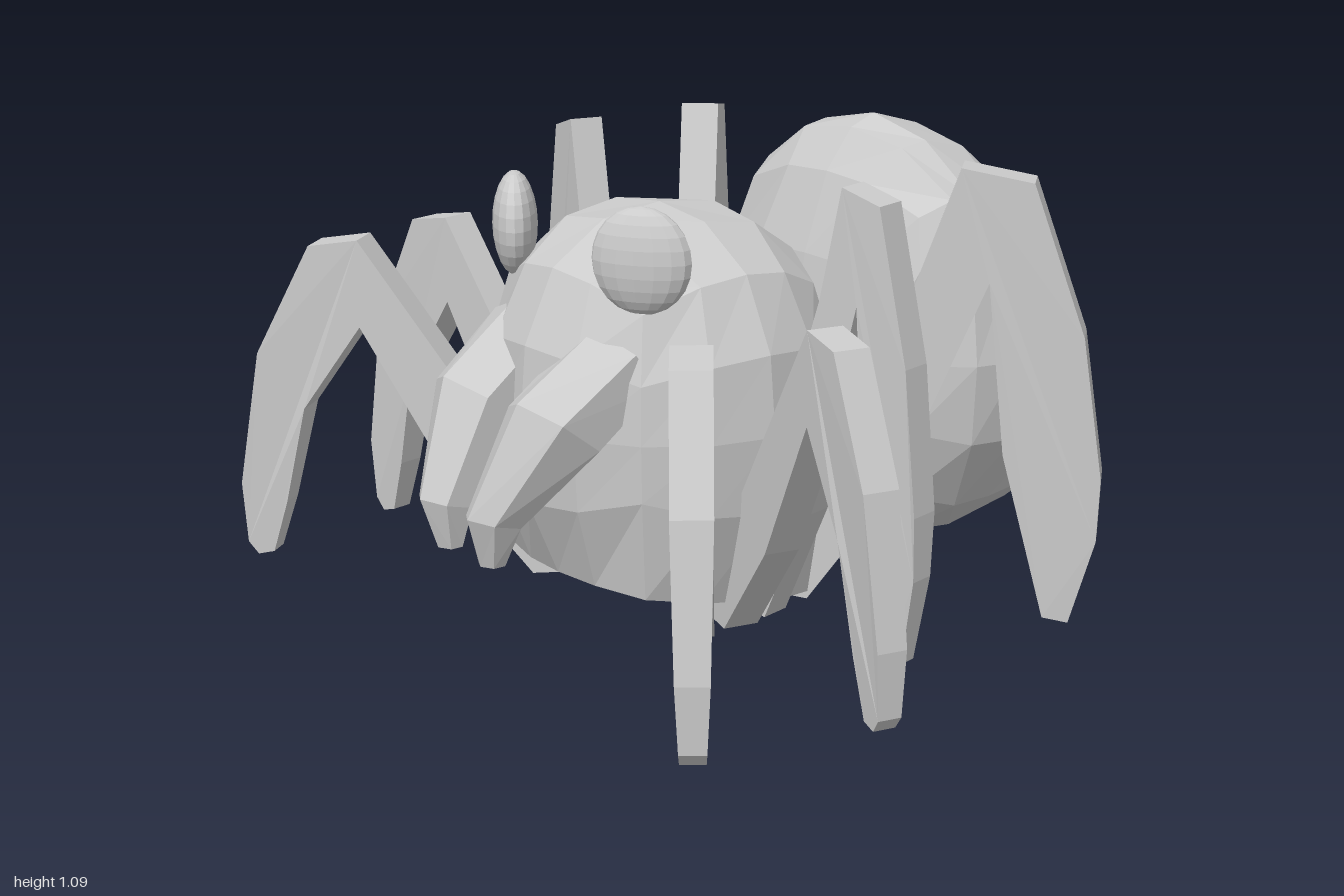
import * as THREE from 'three';

const material = new THREE.MeshStandardMaterial({ color: 0xcccccc, flatShading: true });

function addMesh(parent, name, geometry) {
  const mesh = new THREE.Mesh(geometry, material);
  mesh.name = name;
  parent.add(mesh);
  return mesh;
}

// Moves every vertex of a geometry by a rule that edits the vector in place
function reshape(geometry, rule) {
  const p = geometry.attributes.position;
  const v = new THREE.Vector3();
  for (let i = 0; i < p.count; i++) {
    rule(v.fromBufferAttribute(p, i));
    p.setXYZ(i, v.x, v.y, v.z);
  }
  geometry.computeVertexNormals();
  return geometry;
}

// Ball with square patches, made from a divided cube
function quadBall(rule) {
  return reshape(new THREE.BoxGeometry(2, 2, 2, 4, 4, 4), (v) => {
    const underside = v.y < -0.99;
    v.set(Math.tan(v.x * Math.PI / 4), Math.tan(v.y * Math.PI / 4), Math.tan(v.z * Math.PI / 4));
    rule(v.normalize(), underside);
  });
}

// Fang rings from tip to base: centre x, y, z, half width, half depth, tilt
const fangRings = [
  [0.085, 0.23, 0.79, 0.035, 0.03, 0],
  [0.095, 0.33, 0.79, 0.065, 0.07, 0.25],
  [0.145, 0.53, 0.66, 0.12, 0.12, 0.65],
  [0.16, 0.66, 0.5, 0.13, 0.1, 0.95],
];

function fangGeometry() {
  return reshape(new THREE.CylinderGeometry(1, 1, 3, 6, 3), (v) => {
    const [x, y, z, w, d, tilt] = fangRings[Math.round(v.y + 1.5)];
    v.set(x + v.x * w, y + v.z * d * Math.sin(tilt), z + v.z * d * Math.cos(tilt));
  });
}

// Leg outlines: reach (0 at the hip, 1 at the foot) against height
const lowLeg = [
  [-0.05, 0.05], [0.1, 0.035], [0.36, 0.27], [0.61, 0.61], [0.79, 0.4], [0.86, 0.16], [0.91, 0.03],
  [0.96, 0.02], [0.99, 0.05], [1, 0.2], [0.93, 0.53], [0.76, 0.8], [0.61, 0.82], [0, 0.14],
];
const highLeg = [
  [-0.03, 0.05], [0.1, 0.035], [0.36, 0.3], [0.65, 0.8], [0.7, 0.4], [0.83, 0.01],
  [0.91, 0], [0.99, 0.2], [1, 0.35], [0.94, 0.68], [0.78, 1.03], [0.56, 1.06], [0.43, 0.8], [0.04, 0.25],
];

function legGeometry(outline, reach, width) {
  const shape = new THREE.Shape(outline.map(([u, y]) => new THREE.Vector2(u * reach, y)));
  const geometry = new THREE.ExtrudeGeometry(shape, { depth: 1, bevelEnabled: false });
  // Narrow at the foot only
  return reshape(geometry, (v) => {
    const taper = v.x > reach * 0.7 ? Math.min(1, 0.6 + v.y * 1.1) : 1;
    v.z = (v.z - 0.5) * width * taper;
  });
}

// Legs from front to back: name, outline, hip x, z, foot x, z, width
const legs = [
  ['frontLeg', lowLeg, 0.24, 0.35, 0.89, 0.85, 0.09],
  ['secondLeg', lowLeg, 0.24, 0.26, 0.99, 0.41, 0.085],
  ['thirdLeg', highLeg, 0.25, 0.17, 0.69, 0.06, 0.08],
  ['rearLeg', highLeg, 0.18, 0.06, 0.72, -0.45, 0.09],
];

export function createModel() {
  const model = new THREE.Group();
  model.name = 'spider';

  // Head and chest: upright rounded ball with a flat sloping underside
  addMesh(model, 'body', quadBall((v, underside) => {
    const p = 2.5;
    const r = Math.pow(Math.pow(Math.hypot(v.x, v.z), p) + Math.pow(Math.abs(v.y), p), -1 / p);
    v.multiplyScalar(r);
    v.set(v.x * 0.42, 0.5 + v.y * 0.46, 0.26 + v.z * 0.39);
    if (underside) v.y = 0.05 + 0.17 * Math.max(0, v.z - 0.03);
  }));

  // Abdomen: blunt and low at the front, domed at the back
  addMesh(model, 'abdomen', quadBall((v) => {
    const p = 2 + 0.8 * Math.max(0, v.z);
    const sum = Math.abs(v.x) ** p + Math.abs(v.y) ** p + Math.abs(v.z) ** p;
    v.multiplyScalar(Math.pow(sum, -1 / p));
    const depth = v.z > 0 ? 0.295 : 0.455;
    const lean = v.y * (0.05 - 0.12 * v.z);
    v.set(v.x * 0.475, 0.57 + v.y * 0.52, -0.425 + v.z * depth + lean);
  }));

  // Paired parts, mirrored across x
  for (const side of [1, -1]) {
    const half = new THREE.Group();
    half.name = side > 0 ? 'leftSide' : 'rightSide';
    half.scale.x = side;
    model.add(half);

    const eye = addMesh(half, 'eye', new THREE.SphereGeometry(1, 16, 12));
    eye.scale.set(0.115, 0.12, 0.052);
    eye.position.set(0.243, 0.9, 0.49);
    eye.rotation.y = 0.6;

    addMesh(half, 'fang', fangGeometry());

    for (const [name, outline, hx, hz, fx, fz, width] of legs) {
      const reach = Math.hypot(fx - hx, fz - hz);
      const leg = addMesh(half, name, legGeometry(outline, reach, width));
      leg.position.set(hx, 0, hz);
      leg.rotation.y = Math.atan2(hz - fz, fx - hx);
    }
  }
  return model;
}
